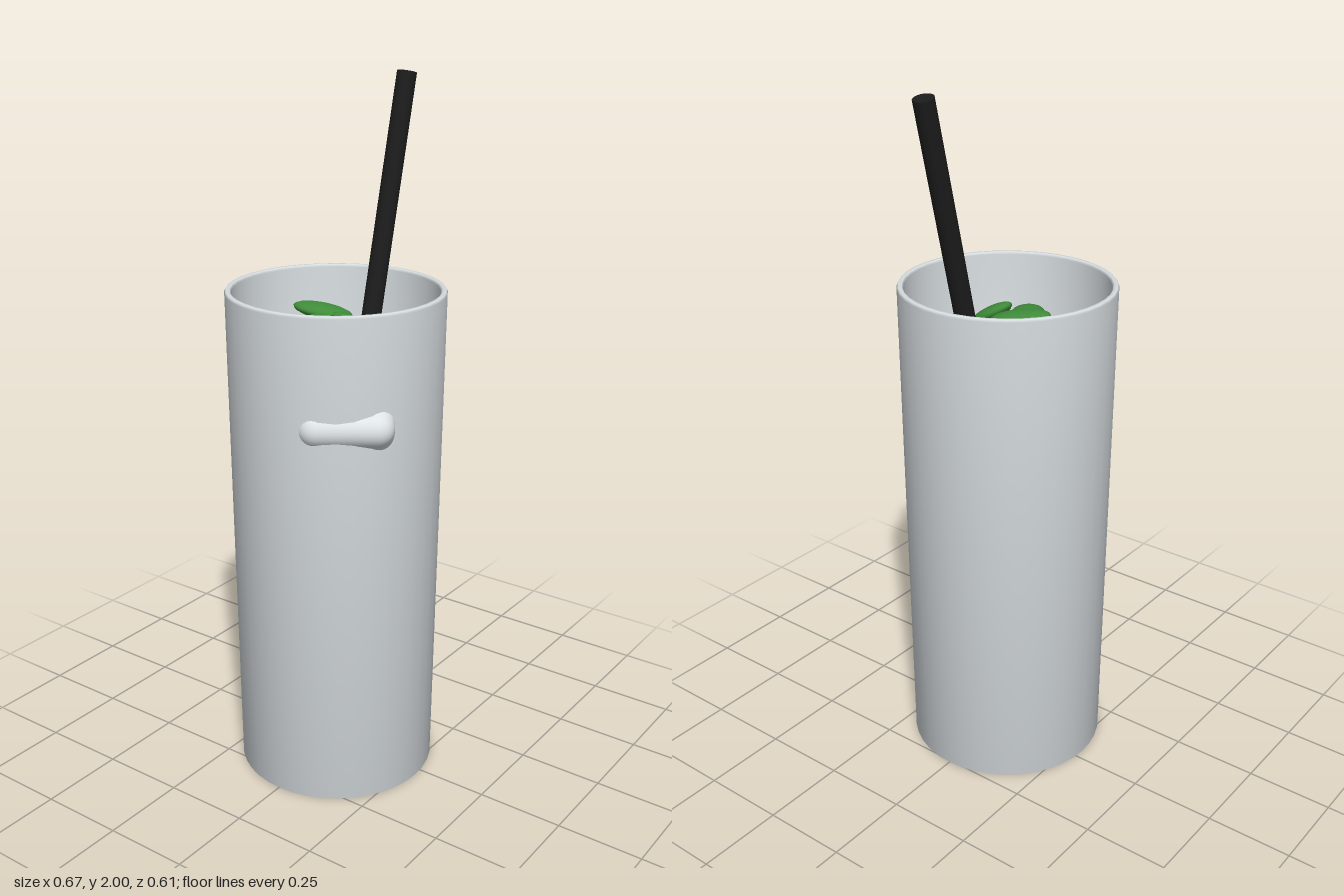
import * as THREE from 'three';
import { RoundedBoxGeometry } from 'three/addons/geometries/RoundedBoxGeometry.js';

const material = (name, color) => {
  const m = new THREE.MeshStandardMaterial({ color });
  m.name = name;
  return m;
};

const lathe = (points) =>
  new THREE.LatheGeometry(points.map(([r, y]) => new THREE.Vector2(r, y)), 40);

export function createModel() {
  const glassMat = material('glass grey', 0xd9dfe2);
  const iceMat = material('ice white', 0xdfe4e6);
  const drinkMat = material('pale green drink', 0xb9dd9f);
  const leafMat = material('leaf green', 0x3f8c3a);
  const strawMat = material('straw black', 0x1c1c1c);

  const model = new THREE.Group();
  model.name = 'icedDrink';
  const add = (name, geometry, mat, x, y, z) => {
    const mesh = new THREE.Mesh(geometry, mat);
    mesh.name = name;
    mesh.position.set(x, y, z);
    mesh.rotation.order = 'YXZ';
    model.add(mesh);
    return mesh;
  };

  // Tall tapered tumbler: outer wall, rounded rim, inner wall and floor
  const cx = -0.03;
  add('glass', lathe([
    [0, 0], [0.288, 0], [0.305, 1.438], [0.301, 1.445],
    [0.291, 1.445], [0.286, 1.438], [0.268, 0.05], [0, 0.05],
  ]), glassMat, cx, 0, 0);

  // Drink filling the tumbler
  add('drink', lathe([[0, 0.06], [0.269, 0.06], [0.284, 1.22], [0, 1.22]]), drinkMat, cx, 0, 0);

  // Ice cube resting on its edge against the wall
  const ice = add('iceCube', new RoundedBoxGeometry(0.25, 0.25, 0.26, 4, 0.05), iceMat, -0.139, 1.13, 0.112);
  ice.rotation.set(0, 0.617, Math.PI / 4);

  // Leaning straw
  const bottom = new THREE.Vector3(-0.14, 0.2, 0);
  const top = new THREE.Vector3(0.306, 1.993, 0);
  const axis = top.clone().sub(bottom);
  const mid = bottom.clone().add(top).multiplyScalar(0.5);
  const straw = add('straw', new THREE.CylinderGeometry(0.028, 0.028, axis.length(), 20), strawMat, mid.x, mid.y, mid.z);
  straw.quaternion.setFromUnitVectors(new THREE.Vector3(0, 1, 0), axis.normalize());

  // Garnish of flattened oval leaves: position, yaw, pitch, length
  const leaves = [
    ['backLeaf', -0.003, 1.365, -0.064, 0.38, 0.15, 0.174],
    ['rightLeaf', -0.098, 1.345, -0.02, -1.1, 0.2, 0.165],
    ['leftLeaf', 0.045, 1.325, 0.002, 1.25, 0.25, 0.15],
    ['frontLeaf', -0.037, 1.34, 0.064, 0.05, 0.55, 0.148],
  ];
  for (const [name, x, y, z, yaw, pitch, length] of leaves) {
    const leaf = add(name, new THREE.SphereGeometry(0.5, 16, 12), leafMat, x, y, z);
    leaf.scale.set(0.09, 0.042, length);
    leaf.rotation.set(pitch, yaw, 0);
  }

  return model;
}
